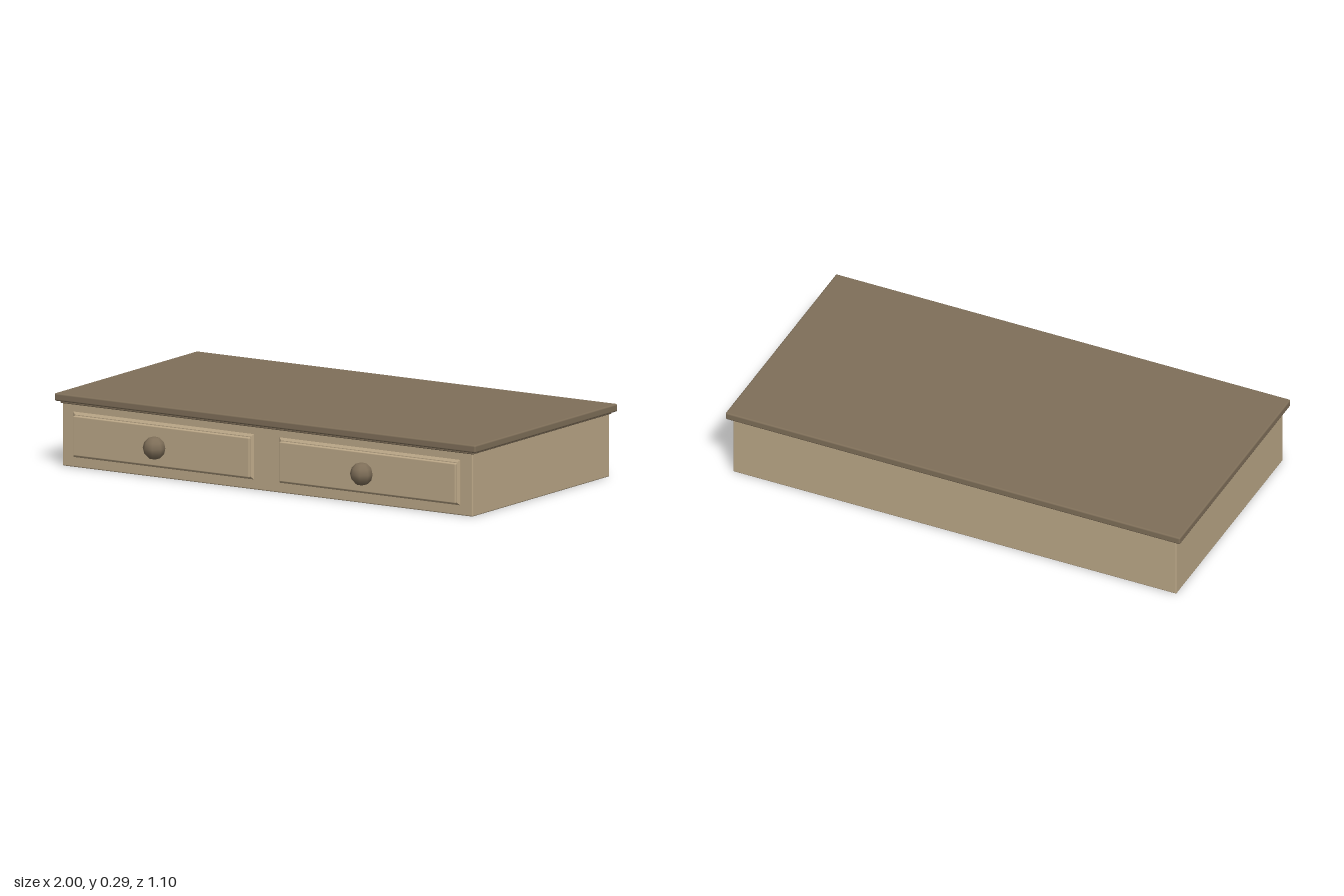
import * as THREE from 'three';
import { RoundedBoxGeometry } from 'three/addons/geometries/RoundedBoxGeometry.js';

const mat = (name, color) => {
  const m = new THREE.MeshStandardMaterial({ color });
  m.name = name;
  return m;
};

export function createModel() {
  const tan = mat('lightWood', 0xbca888);
  const brown = mat('darkWood', 0x7f6f59);
  const group = new THREE.Group();

  const add = (parent, name, geometry, material, x, y, z) => {
    const mesh = new THREE.Mesh(geometry, material);
    mesh.name = name;
    mesh.position.set(x, y, z);
    parent.add(mesh);
    return mesh;
  };

  // Box with softened edges, given by its limits
  const box = (parent, name, material, [x0, x1], [y0, y1], [z0, z1], r) =>
    add(parent, name, new RoundedBoxGeometry(x1 - x0, y1 - y0, z1 - z0, 2, r), material,
      (x0 + x1) / 2, (y0 + y1) / 2, (z0 + z1) / 2);

  // Rectangular plate whose front rim slopes in by `slope`; its back is at z = 0
  const slopedPlate = (w, h, depth, slope) => {
    const a = w / 2 - slope, b = h / 2 - slope;
    const shape = new THREE.Shape([
      new THREE.Vector2(-a, -b), new THREE.Vector2(a, -b),
      new THREE.Vector2(a, b), new THREE.Vector2(-a, b),
    ]);
    return new THREE.ExtrudeGeometry(shape, {
      depth: 0.002, bevelEnabled: true, bevelThickness: depth - 0.002, bevelSize: slope, bevelSegments: 1,
    });
  };

  // Case, moulding and overhanging top
  box(group, 'case', tan, [-0.975, 0.975], [0, 0.262], [-0.53, 0.47], 0.005);
  box(group, 'topMoulding', brown, [-0.982, 0.982], [0.254, 0.272], [-0.535, 0.476], 0.004);
  box(group, 'top', brown, [-1, 1], [0.263, 0.295], [-0.55, 0.49], 0.007);

  // Two drawers, each with a sloped surround, raised panel and faceted knob
  for (const [side, cx, knobX] of [['left', 0.4875, 0.47], ['right', -0.4925, -0.515]]) {
    const drawer = new THREE.Group();
    drawer.name = side + 'Drawer';
    group.add(drawer);
    add(drawer, 'drawerSurround', slopedPlate(0.858, 0.184, 0.009, 0.01), tan, cx, 0.133, 0.469);
    box(drawer, 'drawerPanel', tan, [cx - 0.419, cx + 0.419], [0.049, 0.212], [0.46, 0.491], 0.005);
    const knob = add(drawer, 'knob', new THREE.SphereGeometry(0.047, 8, 6), brown, knobX, 0.126, 0.505);
    knob.rotation.y = Math.PI / 8;
  }
  return group;
}
